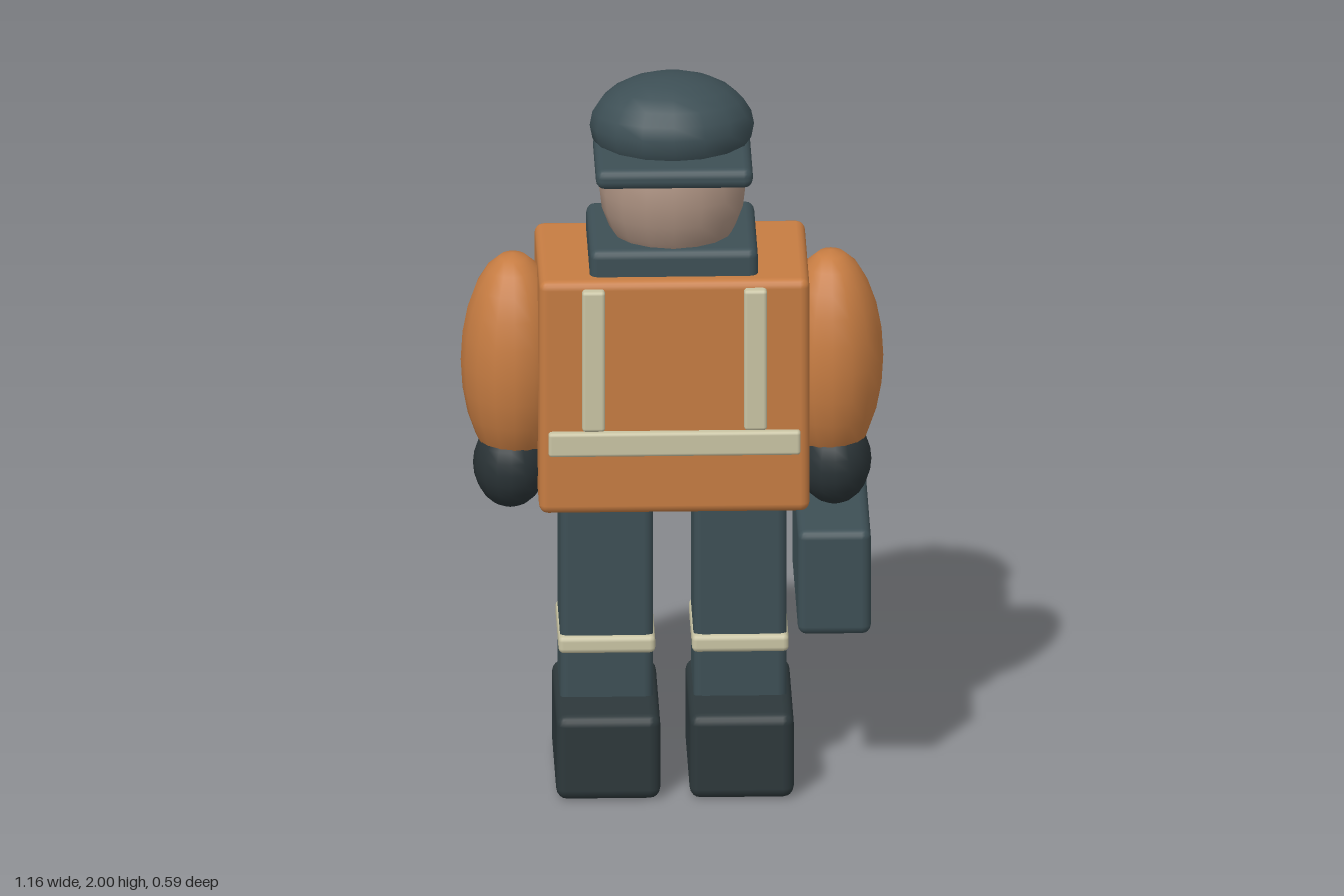
import * as THREE from 'three';
import { RoundedBoxGeometry } from 'three/addons/geometries/RoundedBoxGeometry.js';

const paint = (color) => new THREE.MeshStandardMaterial({ color });

export function createModel() {
  const group = new THREE.Group();
  const orange = paint(0xc67c42);
  const slate = paint(0x3d4f55);
  const bootDark = paint(0x2d383b);
  const gloveDark = paint(0x2a3336);
  const skin = paint(0xa98f7f);
  const reflective = paint(0xc9c4a4);

  // Rounded box given by its [min, max] range on each axis
  function block(name, material, [x0, x1], [y0, y1], [z0, z1], radius) {
    const geometry = new RoundedBoxGeometry(x1 - x0, y1 - y0, z1 - z0, 2, radius);
    const mesh = new THREE.Mesh(geometry, material);
    mesh.name = name;
    mesh.position.set((x0 + x1) / 2, (y0 + y1) / 2, (z0 + z1) / 2);
    group.add(mesh);
    return mesh;
  }

  // Ellipsoid given by centre and radii
  function ellipsoid(name, material, centre, radii) {
    const geometry = new THREE.SphereGeometry(1, 16, 12).scale(...radii);
    const mesh = new THREE.Mesh(geometry, material);
    mesh.name = name;
    mesh.position.set(...centre);
    group.add(mesh);
    return mesh;
  }

  // Range on x, mirrored for the right side
  const side = (s, a, b) => (s > 0 ? [a, b] : [-b, -a]);

  // Jacket and collar
  block('jacket', orange, [-0.37, 0.37], [0.81, 1.49], [-0.26, 0.22], 0.025);
  block('collar', slate, [-0.23, 0.23], [1.44, 1.565], [-0.215, 0.18], 0.025);
  block('waistStripe', reflective, [-0.345, 0.345], [0.985, 1.055], [0.205, 0.24], 0.01);

  // Head and cap
  ellipsoid('head', skin, [0, 1.69, 0.015], [0.2, 0.22, 0.18]);
  const cap = ellipsoid('cap', slate, [0, 1.855, -0.035], [0.225, 0.145, 0.208]);
  cap.rotation.x = -0.12;
  block('capVisor', slate, [-0.215, 0.215], [1.762, 1.82], [-0.085, 0.235], 0.025);

  // Paired parts
  for (const s of [1, -1]) {
    const label = s > 0 ? 'left' : 'right';
    block(label + 'ChestStripe', reflective, side(s, 0.19, 0.253), [1.06, 1.47], [0.205, 0.245], 0.01);
    ellipsoid(label + 'Arm', orange, [s * 0.435, 1.18, -0.017], [0.143, 0.31, 0.17]);
    ellipsoid(label + 'Glove', gloveDark, [s * 0.443, 0.885, 0], [0.102, 0.125, 0.12]);
    block(label + 'Leg', slate, side(s, 0.055, 0.31), [0.2, 0.86], [-0.165, 0.135], 0.025);
    block(label + 'LegBand', reflective, side(s, 0.05, 0.315), [0.375, 0.425], [-0.155, 0.15], 0.015);
    block(label + 'Boot', bootDark, side(s, 0.04, 0.325), [0, 0.245], [-0.175, 0.295], 0.03);
  }

  // Case carried in the left hand
  block('toolCase', slate, [0.337, 0.537], [0.46, 0.765], [-0.293, 0.25], 0.025);

  return group;
}
